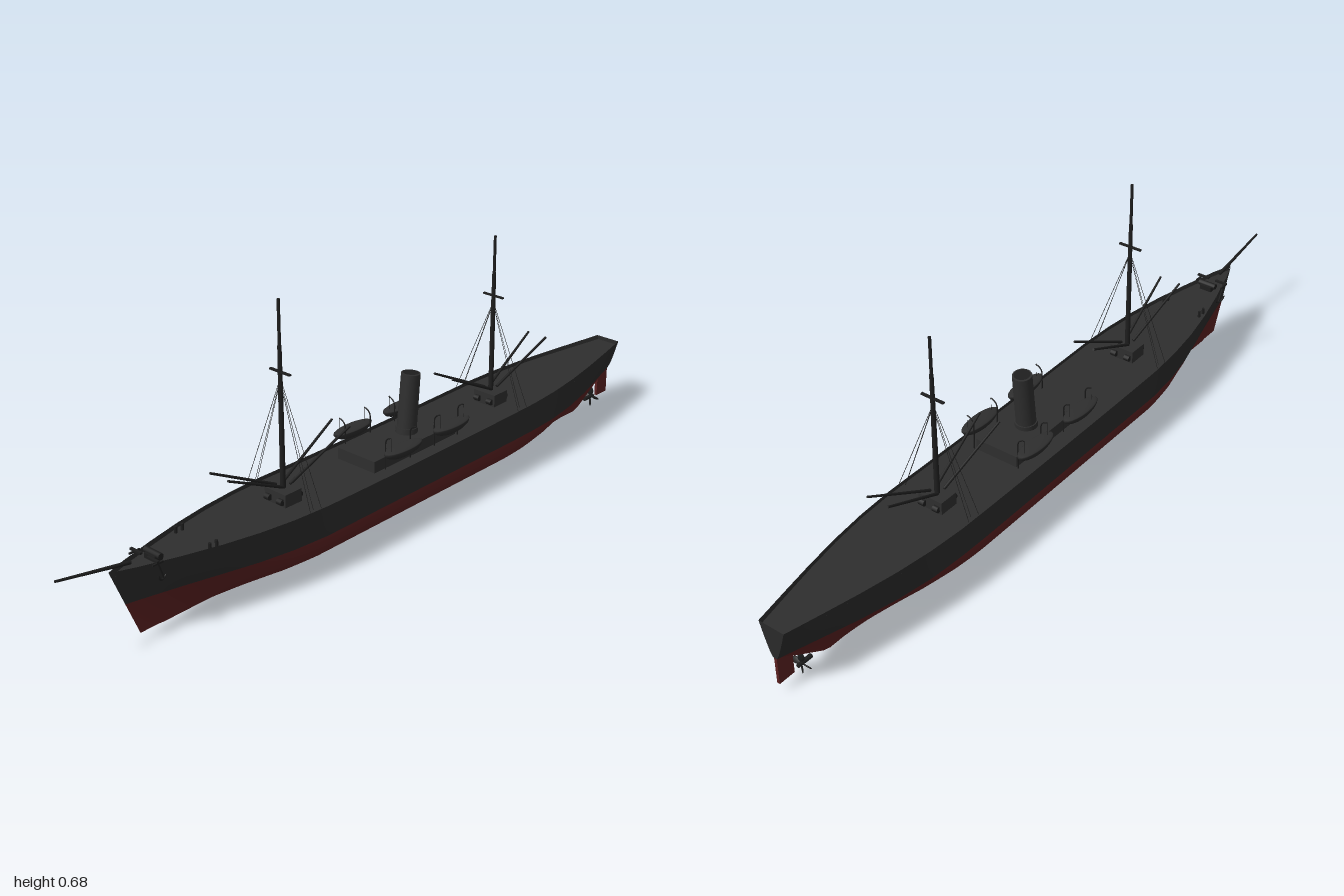
import * as THREE from 'three';

const mat = (name, color, side = THREE.FrontSide) => {
  const m = new THREE.MeshStandardMaterial({ color, side });
  m.name = name;
  return m;
};

export function createModel() {
  const root = new THREE.Group();
  root.name = 'steamship';
  const black = mat('hull black', 0x2a2a2a, THREE.DoubleSide);
  const red = mat('bottom red', 0x5a2020, THREE.DoubleSide);
  const deckGrey = mat('deck grey', 0x2e2e2e);
  const iron = mat('iron black', 0x1e1e1e);

  const add = (name, geo, material, x = 0, y = 0, z = 0, parent = root) => {
    const m = new THREE.Mesh(geo, material);
    m.name = name;
    m.position.set(x, y, z);
    parent.add(m);
    return m;
  };
  const box = (name, w, h, d, material, x, y, z, parent) =>
    add(name, new THREE.BoxGeometry(w, h, d), material, x, y, z, parent);
  // Tapered round bar between two points
  const bar = (name, a, b, r0, r1, material = iron, parent = root, sides = 8) => {
    const p = new THREE.Vector3(...a), q = new THREE.Vector3(...b);
    const dir = q.clone().sub(p);
    const m = add(name, new THREE.CylinderGeometry(r1, r0, dir.length(), sides), material, 0, 0, 0, parent);
    m.position.copy(p).add(q).multiplyScalar(0.5);
    m.quaternion.setFromUnitVectors(new THREE.Vector3(0, 1, 0), dir.normalize());
    return m;
  };
  // Surface from a rule; it faces du x dv
  const grid = (fn, nu, nv) => {
    const pos = [], idx = [];
    for (let i = 0; i <= nu; i++) for (let j = 0; j <= nv; j++) pos.push(...fn(i / nu, j / nv));
    for (let i = 0; i < nu; i++) for (let j = 0; j < nv; j++) {
      const a = i * (nv + 1) + j, b = a + nv + 1;
      idx.push(a, b, b + 1, a, b + 1, a + 1);
    }
    const g = new THREE.BufferGeometry();
    g.setAttribute('position', new THREE.Float32BufferAttribute(pos, 3));
    g.setIndex(idx);
    g.computeVertexNormals();
    return g;
  };

  // ---- Hull lines: half breadths at stations along z ----
  const stations = [-1, -0.9, -0.8, -0.7, -0.6, -0.5, -0.4, 0.3, 0.4, 0.5, 0.6, 0.7, 0.8, 0.86];
  const deckHalf = [0.037, 0.058, 0.078, 0.095, 0.107, 0.113, 0.1135, 0.1135, 0.108, 0.096, 0.077, 0.052, 0.023, 0.001];
  const waterHalf = [0.006, 0.036, 0.066, 0.09, 0.106, 0.112, 0.1135, 0.1125, 0.103, 0.086, 0.062, 0.037, 0.014, 0.001];
  const lookup = (table, z) => {
    let i = 0;
    while (i < stations.length - 2 && z > stations[i + 1]) i++;
    return THREE.MathUtils.lerp(table[i], table[i + 1], (z - stations[i]) / (stations[i + 1] - stations[i]));
  };
  const WL = 0.102;
  const sheer = (z) => 0.179 + (z > 0 ? 0.018 : 0.013) * z * z / (z > 0 ? 0.74 : 1);
  const keel = (z) => (z < -0.85 ? 0.012 + (-0.85 - z) * 0.6 : 0.012);
  // v: 0 keel, 1 waterline, 2 rail
  const hullPoint = (z, v, side) => {
    const wl = lookup(waterHalf, z);
    let x, y;
    if (v <= 1) {
      y = THREE.MathUtils.lerp(keel(z), WL, v);
      const full = 1 - THREE.MathUtils.smoothstep(Math.abs(z + 0.05), 0.35, 0.88);
      x = wl * (Math.sqrt(1 - (1 - v) ** 2) * full + v ** 1.3 * (1 - full)) + 0.003 * (1 - v) * (z < 0.8 ? 1 : 0.3);
    } else {
      y = THREE.MathUtils.lerp(WL, sheer(z), v - 1);
      x = THREE.MathUtils.lerp(wl, lookup(deckHalf, z), (v - 1) ** 0.8);
    }
    const rake = THREE.MathUtils.clamp((z - 0.4) / 0.46, 0, 1);
    return [x * side, y, z - 0.075 * rake * (1 - (y - 0.012) / 0.185)];
  };
  const zAt = (t) => -1 + 1.86 * t;
  for (const s of [1, -1]) {
    const strip = (v0, n) => grid((a, b) =>
      s > 0 ? hullPoint(zAt(b), v0 + a, s) : hullPoint(zAt(a), v0 + b, s), s > 0 ? n : 93, s > 0 ? 93 : n);
    add('hullBottom', strip(0, 14), red);
    add('hullSide', strip(1, 6), black);
  }
  add('transom', grid((a, b) => {
    const p = hullPoint(-1, 1 + b, 1);
    return [p[0] * (1 - 2 * a), p[1], p[2]];
  }, 2, 6), black);
  add('keelStrip', grid((a, b) => {
    const p = hullPoint(zAt(a), 0, 1);
    return [p[0] * (1 - 2 * b), p[1], p[2]];
  }, 93, 1), red);
  // Deck, set a little below the rail
  add('deck', grid((a, b) => {
    const p = hullPoint(zAt(a), 1.87, 1);
    return [p[0] * (2 * b - 1), p[1], p[2]];
  }, 93, 2), deckGrey);

  // ---- Rudder and propeller ----
  box('rudder', 0.008, 0.09, 0.046, red, 0, 0.071, -0.976);
  const prop = new THREE.Group();
  prop.name = 'propeller';
  prop.position.set(0, 0.03, -0.927);
  root.add(prop);
  bar('propellerHub', [0, 0, 0.03], [0, 0, -0.012], 0.006, 0.005, iron, prop);
  for (let i = 0; i < 4; i++) {
    const holder = new THREE.Group();
    holder.name = 'propellerBlade';
    holder.rotation.z = i * Math.PI / 2;
    prop.add(holder);
    const blade = add('blade', new THREE.SphereGeometry(1, 10, 6), iron, 0, 0.017, 0, holder);
    blade.scale.set(0.008, 0.013, 0.002);
    blade.rotation.y = 0.6;
  }

  // ---- Deckhouse and funnel ----
  box('deckhouse', 0.124, 0.034, 0.31, deckGrey, 0, 0.183, -0.075);
  bar('funnelBase', [0, 0.198, -0.109], [0, 0.214, -0.1105], 0.029, 0.029, deckGrey, root, 24);
  const top = [0, 0.357, -0.124];
  const tube = bar('funnel', [0, 0.2, -0.109], top, 0.026, 0.025, deckGrey, root, 24);
  const mouth = add('funnelMouth', new THREE.CircleGeometry(0.021, 24), iron, 0, 0.0803, 0, tube);
  mouth.rotation.x = -Math.PI / 2;

  // ---- Lifeboats with davits ----
  for (const s of [1, -1]) for (const z of [0, -0.185]) {
    const boat = new THREE.Group();
    boat.name = 'lifeboat';
    boat.position.set(s * 0.086, 0.221, z);
    root.add(boat);
    const shell = add('boatShell', new THREE.SphereGeometry(1, 20, 8, 0, Math.PI * 2, Math.PI / 2, Math.PI / 2), black, 0, 0, 0, boat);
    shell.scale.set(0.023, 0.024, 0.067);
    const cover = add('boatCover', new THREE.SphereGeometry(1, 20, 5, 0, Math.PI * 2, 0, Math.PI / 2), deckGrey, 0, 0, 0, boat);
    cover.scale.set(0.023, 0.005, 0.067);
    for (const dz of [0.046, -0.046]) {
      const path = new THREE.CatmullRomCurve3([[0.068, 0.17], [0.068, 0.225], [0.069, 0.247], [0.076, 0.256], [0.088, 0.261]]
        .map(([x, y]) => new THREE.Vector3(s * x, y, z + dz)));
      add('davit', new THREE.TubeGeometry(path, 14, 0.0018, 6), iron);
      bar('boatFall', [s * 0.087, 0.261, z + dz], [s * 0.087, 0.222, z + dz], 0.0006, 0.0006, iron, root, 4);
    }
  }

  // ---- Masts with winch house, booms, crosstree and shrouds ----
  const mast = (z, height, tree) => {
    const g = new THREE.Group();
    g.name = 'mastAssembly';
    g.position.z = z;
    root.add(g);
    box('winchHouse', 0.07, 0.038, 0.054, deckGrey, 0, 0.186, 0, g);
    bar('lowerMast', [0, 0.17, 0], [0, 0.43, 0], 0.007, 0.006, iron, g);
    bar('middleMast', [0, 0.42, 0], [0, tree + 0.065, 0], 0.006, 0.005, iron, g);
    bar('topMast', [0, tree + 0.05, 0], [0, height, 0], 0.004, 0.0038, iron, g);
    box('crosstree', 0.066, 0.004, 0.007, iron, 0, tree, 0, g);
    for (const s of [1, -1]) {
      for (const d of [1, -1]) {
        bar('boom', [s * 0.011, 0.214, d * 0.012], [s * 0.03, 0.306, d * 0.2], 0.004, 0.003, iron, g);
        bar('shroud', [s * 0.004, tree - 0.03, d * 0.002], [s * 0.109, 0.18, d * 0.018], 0.0007, 0.0007, iron, g, 4);
        bar('winchDrum', [s * 0.013, 0.185, d * 0.03], [s * 0.029, 0.185, d * 0.03], 0.008, 0.008, iron, g, 12);
      }
      bar('shroud', [s * 0.004, tree - 0.03, 0], [s * 0.1, 0.18, 0], 0.0007, 0.0007, iron, g, 4);
    }
  };
  mast(0.333, 0.682, 0.503);
  mast(-0.452, 0.64, 0.475);

  // ---- Bow gear ----
  bar('bowsprit', [0, 0.198, 0.8], [0, 0.236, 1], 0.005, 0.003);
  bar('windlass', [-0.026, 0.195, 0.735], [0.026, 0.195, 0.735], 0.008, 0.008, iron, root, 12);
  box('windlassBed', 0.036, 0.014, 0.024, iron, 0, 0.187, 0.735);
  for (const s of [1, -1]) {
    box('cathead', 0.036, 0.005, 0.007, iron, s * 0.029, 0.199, 0.76);
    bar('anchorShank', [s * 0.039, 0.198, 0.758], [s * 0.037, 0.15, 0.74], 0.0025, 0.0025);
    const arms = add('anchorArms', new THREE.TorusGeometry(0.016, 0.0025, 6, 12, Math.PI), iron, s * 0.037, 0.162, 0.742);
    arms.rotation.set(0, Math.PI / 2 + s * 0.3, Math.PI);
    box('anchorStock', 0.004, 0.004, 0.03, iron, s * 0.04, 0.192, 0.756);
    for (const z of [0.6, 0.62]) bar('bollard', [s * 0.058, 0.17, z], [s * 0.058, 0.194, z], 0.004, 0.004);
  }
  return root;
}
